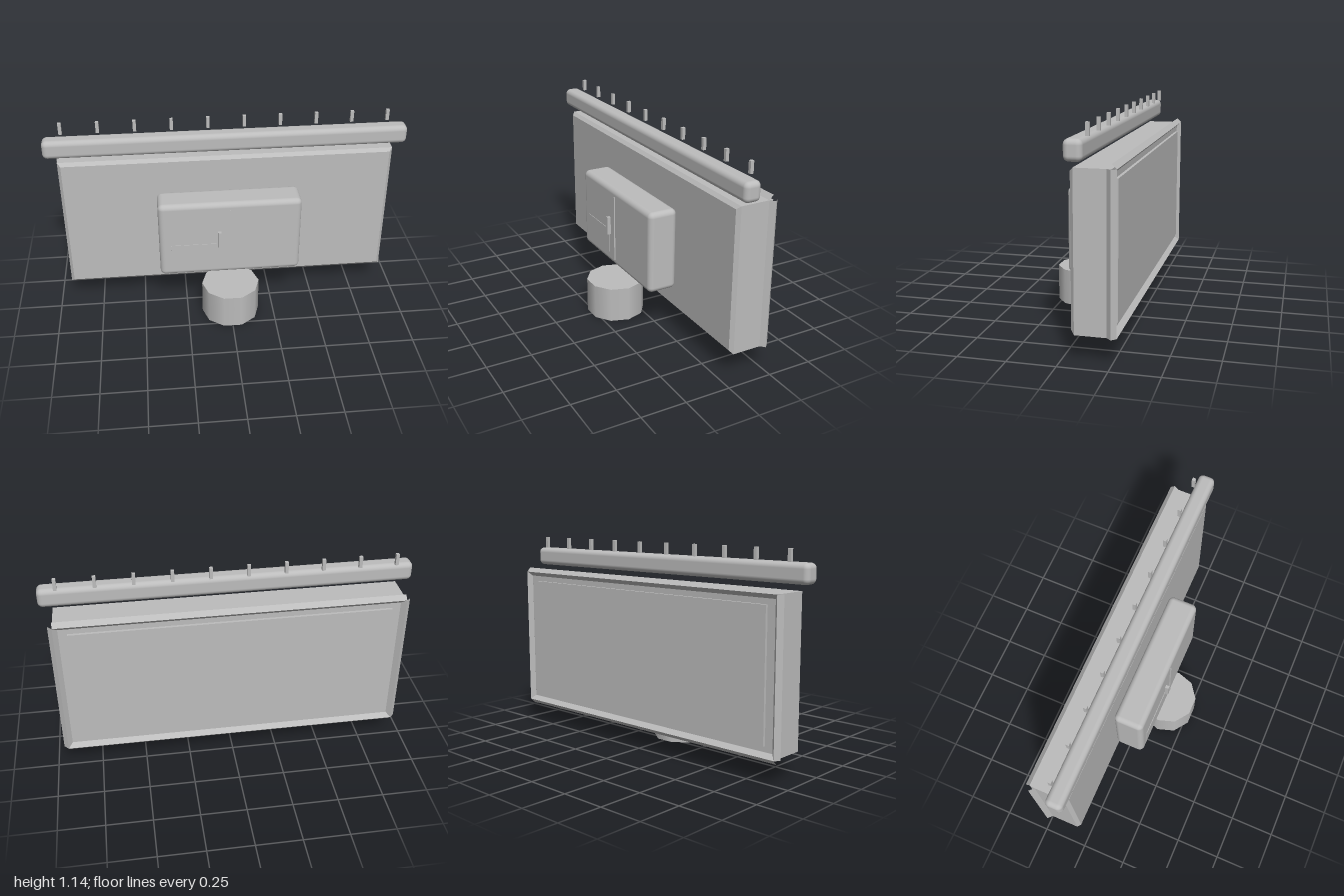
import * as THREE from 'three';
import { RoundedBoxGeometry } from 'three/addons/geometries/RoundedBoxGeometry.js';

export function createModel() {
  const model = new THREE.Group();
  const grey = new THREE.MeshStandardMaterial({ color: 0xbcbcbc });
  grey.name = 'grey';

  const add = (name, geometry, x, y, z) => {
    const mesh = new THREE.Mesh(geometry, grey);
    mesh.name = name;
    mesh.position.set(x, y, z);
    model.add(mesh);
    return mesh;
  };
  // Box given by its low and high corners; a radius rounds its edges
  const block = (name, [x0, y0, z0], [x1, y1, z1], radius = 0) => {
    const size = [x1 - x0, y1 - y0, z1 - z0];
    const geometry = radius
      ? new RoundedBoxGeometry(...size, 4, radius)
      : new THREE.BoxGeometry(...size);
    return add(name, geometry, (x0 + x1) / 2, (y0 + y1) / 2, (z0 + z1) / 2);
  };

  // Board body: the front edge ring is pulled in to form a chamfer
  const W = 1.86, H = 0.8, D = 0.2, C = 0.018, midY = 0.536;
  const box = new THREE.BoxGeometry(W, H, D, 1, 1, 2);
  const p = box.attributes.position;
  for (let i = 0; i < p.count; i++) {
    const x = p.getX(i), y = p.getY(i), z = p.getZ(i);
    if (z > 0.01) p.setXY(i, x - Math.sign(x) * C, y - Math.sign(y) * C);
    else if (z > -0.01) p.setZ(i, D / 2 - C);
  }
  const body = box.toNonIndexed();
  body.computeVertexNormals();
  add('boardBody', body, 0, midY, -0.15);

  // Raised panel on the back
  block('backPanel', [-0.86, 0.19, -0.265], [0.86, 0.882, -0.25]);

  // Four-sided open rails around the back edge
  const rail = (length) => {
    const g = new THREE.CylinderGeometry(0.024, 0.024, length, 4, 1, true).toNonIndexed();
    g.computeVertexNormals();
    return g;
  };
  for (const s of [-1, 1]) {
    add('sideRail', rail(H), s * W / 2, midY, -0.251);
    add('crossRail', rail(W), 0, midY + s * H / 2, -0.251).rotation.z = Math.PI / 2;
  }

  // Cabinet with seam, hatch and handle
  block('cabinet', [-0.4, 0.27, -0.05], [0.4, 0.735, 0.118], 0.03);
  block('doorSeam', [-0.003, 0.31, 0.116], [0.003, 0.695, 0.125]);
  block('hatch', [-0.335, 0.335, 0.116], [-0.065, 0.475, 0.121]);
  block('handle', [-0.07, 0.45, 0.116], [-0.052, 0.555, 0.138]);

  // Ten-sided foot
  add('foot', new THREE.CylinderGeometry(0.165, 0.165, 0.2, 10, 1, false, Math.PI / 10), 0, 0.1, 0.118);

  // Top bar with a row of pegs
  block('topBar', [-1, 0.97, -0.13], [1, 1.075, -0.038], 0.028);
  for (let i = 0; i < 10; i++) {
    const x = -0.9 + i * 0.2;
    block('peg', [x - 0.009, 1.078, -0.141], [x + 0.009, 1.142, -0.123]);
  }
  return model;
}
